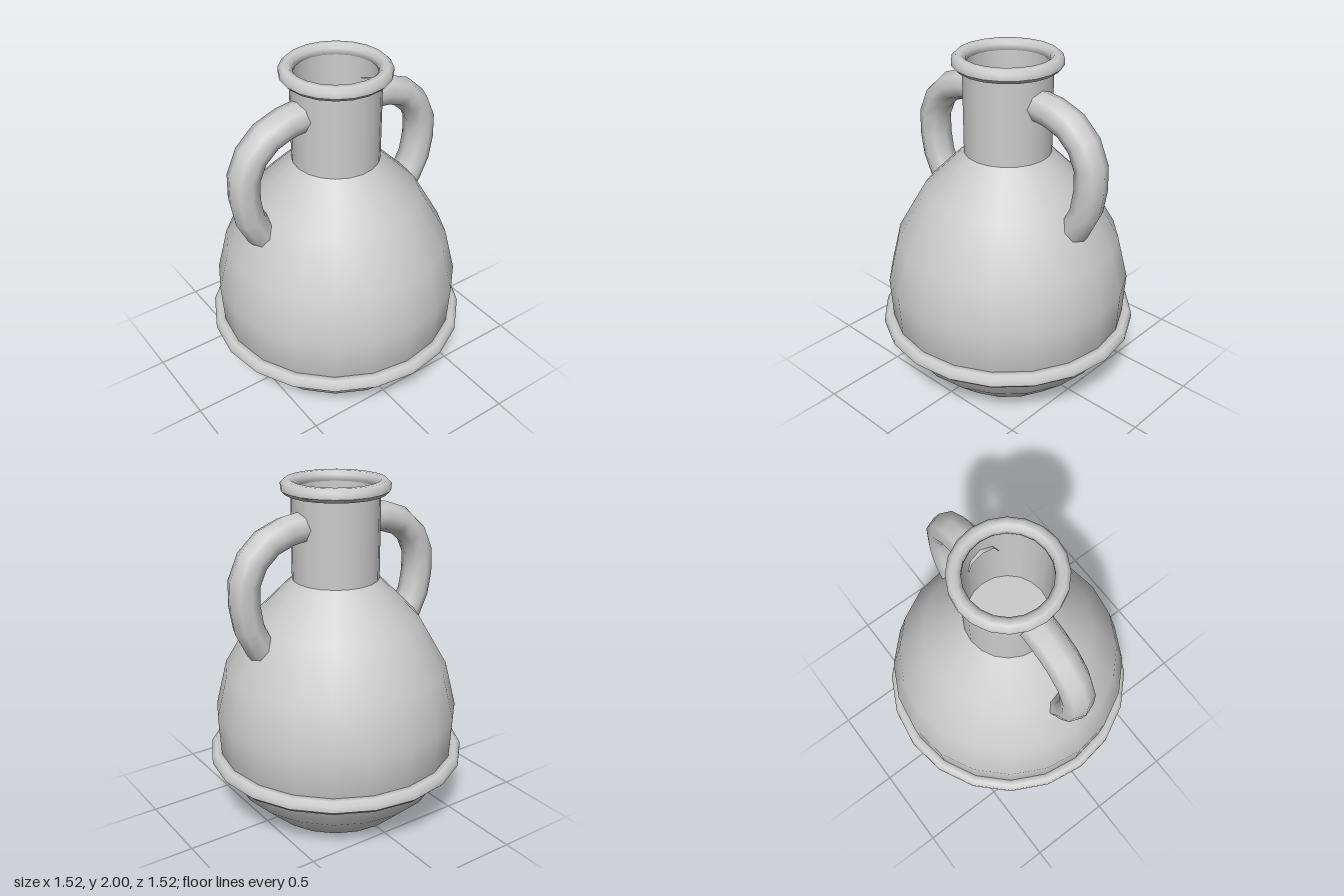
import * as THREE from 'three';

const SIDES = 20;
const material = new THREE.MeshStandardMaterial({ color: 0xcccccc });

function add(group, name, geometry) {
  const mesh = new THREE.Mesh(geometry, material);
  mesh.name = name;
  group.add(mesh);
  return mesh;
}

// Revolve a profile of [radius, height] pairs, listed upwards for an outer wall.
const lathe = (profile) =>
  new THREE.LatheGeometry(profile.map(([r, y]) => new THREE.Vector2(r, y)), SIDES);

// Ring with an eight-sided section, flat on top and on its outer edge.
function ring(radius, y, tube) {
  const profile = [];
  for (let i = 0; i <= 8; i++) {
    const a = ((i - 0.5) * Math.PI) / 4;
    const r = tube / Math.cos(Math.PI / 8);
    profile.push([radius + r * Math.cos(a), y + r * Math.sin(a)]);
  }
  return lathe(profile);
}

// Disc facing up or down, aligned with the lathe sides.
function disc(radius, y, up) {
  const g = new THREE.CircleGeometry(radius, SIDES);
  g.rotateX(up ? -Math.PI / 2 : Math.PI / 2);
  return g.translate(0, y, 0);
}

export function createModel() {
  const jug = new THREE.Group();
  jug.name = 'jug';

  // Rounded belly and its flat base
  add(jug, 'belly', lathe([
    [0.42, 0], [0.61, 0.18], [0.702, 0.4], [0.715, 0.65],
    [0.65, 0.915], [0.482, 1.207], [0.25, 1.44],
  ]));
  add(jug, 'base', disc(0.42, 0, false));

  // Neck with an open bore
  add(jug, 'neck', lathe([[0.25, 1.435], [0.25, 1.96]]));
  add(jug, 'neckBore', lathe([[0.235, 1.96], [0.23, 1.44]]));
  add(jug, 'boreFloor', disc(0.23, 1.44, true));

  // Raised rings round the mouth and the belly
  add(jug, 'mouthRim', ring(0.268, 1.962, 0.038));
  add(jug, 'bellyBand', ring(0.72, 0.37, 0.04));

  // Curved handles, one each side, running from neck to shoulder
  const path = new THREE.CatmullRomCurve3([
    [0.2, 1.765], [0.3, 1.755], [0.43, 1.715], [0.53, 1.635],
    [0.59, 1.52], [0.597, 1.39], [0.565, 1.225], [0.49, 1.1], [0.44, 1.04],
  ].map(([x, y]) => new THREE.Vector3(x, y, 0)));
  for (const [name, turn] of [['leftHandle', 0], ['rightHandle', Math.PI]]) {
    const g = new THREE.TubeGeometry(path, 8, 0.087, 8, false);
    g.scale(1, 1, 1.12);
    add(jug, name, g).rotation.y = turn;
  }

  return jug;
}
